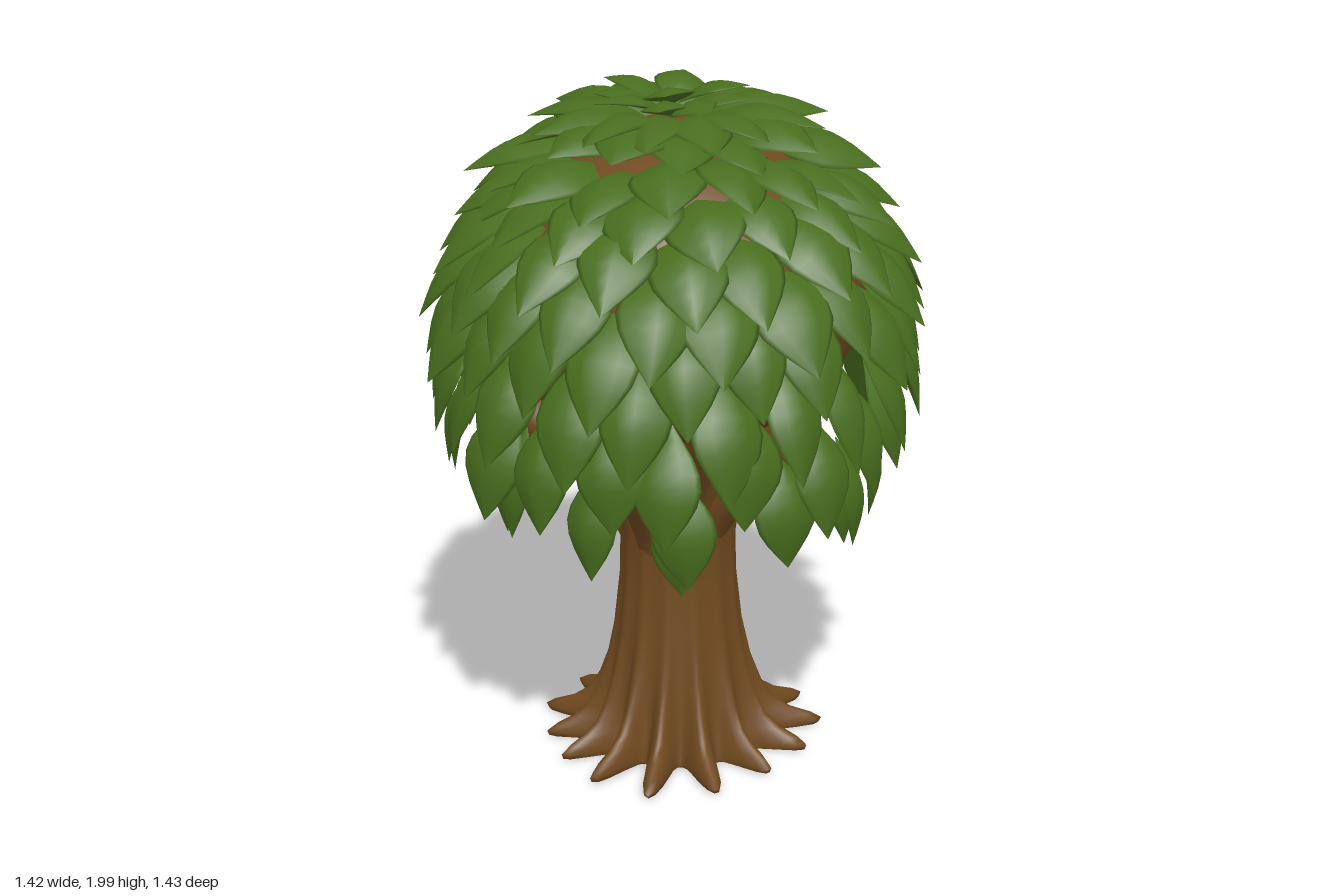
import * as THREE from 'three';

const bark = new THREE.MeshStandardMaterial({ color: 0x70491f });
bark.name = 'bark brown';
const leafMat = new THREE.MeshStandardMaterial({ color: 0x486d1e });
leafMat.name = 'leaf green';

// Seeded random numbers in -1..1
let seed = 7;
const jitter = () => {
  seed = (seed * 16807) % 2147483647;
  return (seed / 2147483647) * 2 - 1;
};

// Skin a stack of closed rings; point(row, angle) returns [x, y, z]
function loft(rows, sides, point) {
  const pos = [], index = [];
  for (let i = 0; i < rows; i++) {
    for (let j = 0; j < sides; j++) {
      pos.push(...point(i, (j / sides) * Math.PI * 2));
      if (i === rows - 1) continue;
      const k = (j + 1) % sides;
      const a = i * sides + j, b = i * sides + k, c = a + sides, d = b + sides;
      index.push(a, c, b, b, c, d);
    }
  }
  const geo = new THREE.BufferGeometry();
  geo.setAttribute('position', new THREE.Float32BufferAttribute(pos, 3));
  geo.setIndex(index);
  geo.computeVertexNormals();
  return geo;
}

// Trunk rings: [height, radius, root ridge size]
function trunkGeometry() {
  const rings = [
    [0.03, 0.001, 0], [0.02, 0.18, 0], [0.01, 0.235, 0.12], [0.015, 0.235, 0.175],
    [0.03, 0.232, 0.185], [0.05, 0.228, 0.16], [0.075, 0.224, 0.105], [0.11, 0.218, 0.065],
    [0.17, 0.21, 0.038], [0.26, 0.198, 0.018], [0.38, 0.182, 0.008], [0.54, 0.168, 0.004],
    [0.66, 0.166, 0.003], [0.74, 0.177, 0.003], [0.82, 0.204, 0.003], [0.9, 0.242, 0.003],
    [0.97, 0.275, 0.003], [1.03, 0.001, 0],
  ];
  return loft(rings.length, 168, (i, a) => {
    const [y, r, ridge] = rings[i];
    const lobe = Math.pow(0.5 + 0.5 * Math.cos(14 * a + 0.6 * Math.sin(2 * a)), 1.5);
    const reach = 1 + 0.15 * Math.sin(3 * a + 1);
    const R = r + ridge * lobe * reach;
    return [Math.cos(a) * R + 0.012, y, Math.sin(a) * R];
  });
}

// Tapered limb curving out along +x
function branchGeometry(reach, top) {
  const rows = 10;
  return loft(rows, 12, (i, a) => {
    const t = i / (rows - 1);
    const r = 0.075 - 0.02 * t;
    const x = 0.075 + (reach - 0.075) * Math.pow(t, 1.7);
    const y = 0.6 + (top - 0.6) * t - Math.cos(a) * r * 0.8 * t;
    return [x + Math.cos(a) * r, y, Math.sin(a) * r];
  });
}

// Pointed leaf with a soft midrib, one unit long and wide, bowed towards +z
function leafGeometry() {
  const half = [0.02, 0.19, 0.35, 0.46, 0.5, 0.45, 0.33, 0.17, 0.004];
  return loft(half.length, 12, (i, a) => {
    const t = i / (half.length - 1), w = half[i], s = Math.sin(a);
    const roof = s > 0 ? 0.22 * (1 - Math.abs(Math.cos(a))) + 0.06 * s : 0.06 * s;
    return [Math.cos(a) * w, t, 0.07 * Math.sin(Math.PI * t) + roof * w];
  });
}

// Place a leaf from base to tip, both given as [radius, height]
function makeLeaf(geo, angle, base, tip, width) {
  const at = ([r, y]) => new THREE.Vector3(Math.sin(angle) * r, y, Math.cos(angle) * r);
  const from = at(base), dir = at(tip).sub(from);
  const length = dir.length();
  dir.normalize();
  const side = new THREE.Vector3(-Math.cos(angle), 0, Math.sin(angle));
  const out = new THREE.Vector3().crossVectors(side, dir);
  const leaf = new THREE.Mesh(geo, leafMat);
  leaf.name = 'leaf';
  leaf.position.copy(from);
  leaf.quaternion.setFromRotationMatrix(new THREE.Matrix4().makeBasis(side, dir, out));
  leaf.rotateY(jitter() * 0.25);
  leaf.rotateZ(jitter() * 0.08);
  leaf.scale.set(width, length, length * 0.85);
  return leaf;
}

export function createModel() {
  seed = 7;
  const tree = new THREE.Group();
  tree.name = 'tree';

  const trunk = new THREE.Mesh(trunkGeometry(), bark);
  trunk.name = 'trunk';
  tree.add(trunk);

  // Limbs fanning out under the crown
  const branches = new THREE.Group();
  branches.name = 'branches';
  const longLimb = branchGeometry(0.48, 1.06), shortLimb = branchGeometry(0.36, 1.14);
  for (let i = 0; i < 10; i++) {
    const limb = new THREE.Mesh(i % 2 ? shortLimb : longLimb, bark);
    limb.name = 'branch';
    limb.rotation.y = (i / 10) * Math.PI * 2 + 0.1 * jitter();
    branches.add(limb);
  }
  tree.add(branches);

  // Woody mass behind the leaves
  const core = new THREE.Mesh(new THREE.SphereGeometry(0.54, 40, 24), bark);
  core.name = 'innerCrown';
  core.scale.set(1, 0.86, 1);
  core.position.y = 1.43;
  tree.add(core);

  // Leaf rings: [count, base, tip, width, turn]
  const rings = [
    [4, [0.01, 1.93], [0.2, 1.985], 0.15, 0.5],
    [8, [0.02, 1.9], [0.23, 1.95], 0.14, 0],
    [13, [0.06, 1.88], [0.42, 1.885], 0.18, 0.5],
    [14, [0.14, 1.85], [0.45, 1.83], 0.2, 0],
    [17, [0.24, 1.81], [0.57, 1.745], 0.21, 0.5],
    [18, [0.31, 1.76], [0.62, 1.63], 0.21, 0],
    [19, [0.38, 1.7], [0.68, 1.5], 0.21, 0.5],
    [20, [0.44, 1.62], [0.71, 1.36], 0.21, 0],
    [20, [0.49, 1.51], [0.71, 1.21], 0.21, 0.5],
    [20, [0.52, 1.37], [0.685, 1.03], 0.2, 0],
    [19, [0.54, 1.21], [0.645, 0.89], 0.2, 0.5],
    [13, [0.52, 1.07], [0.57, 0.76], 0.18, 0],
    [5, [0.46, 0.98], [0.5, 0.69], 0.16, 0.6],
  ];
  const geo = leafGeometry();
  const crown = new THREE.Group();
  crown.name = 'leaves';
  rings.forEach(([count, base, tip, width, turn], row) => {
    const loose = row < 3 ? 0.1 : row < 9 ? 0.6 : 1;
    for (let i = 0; i < count; i++) {
      const angle = ((i + turn + jitter() * 0.13) / count) * Math.PI * 2;
      const drop = jitter() * 0.04 * loose;
      crown.add(makeLeaf(geo, angle, [base[0], base[1] + drop],
        [tip[0] + jitter() * 0.015, tip[1] + drop], width * (1 + 0.1 * jitter())));
    }
  });
  tree.add(crown);
  return tree;
}
